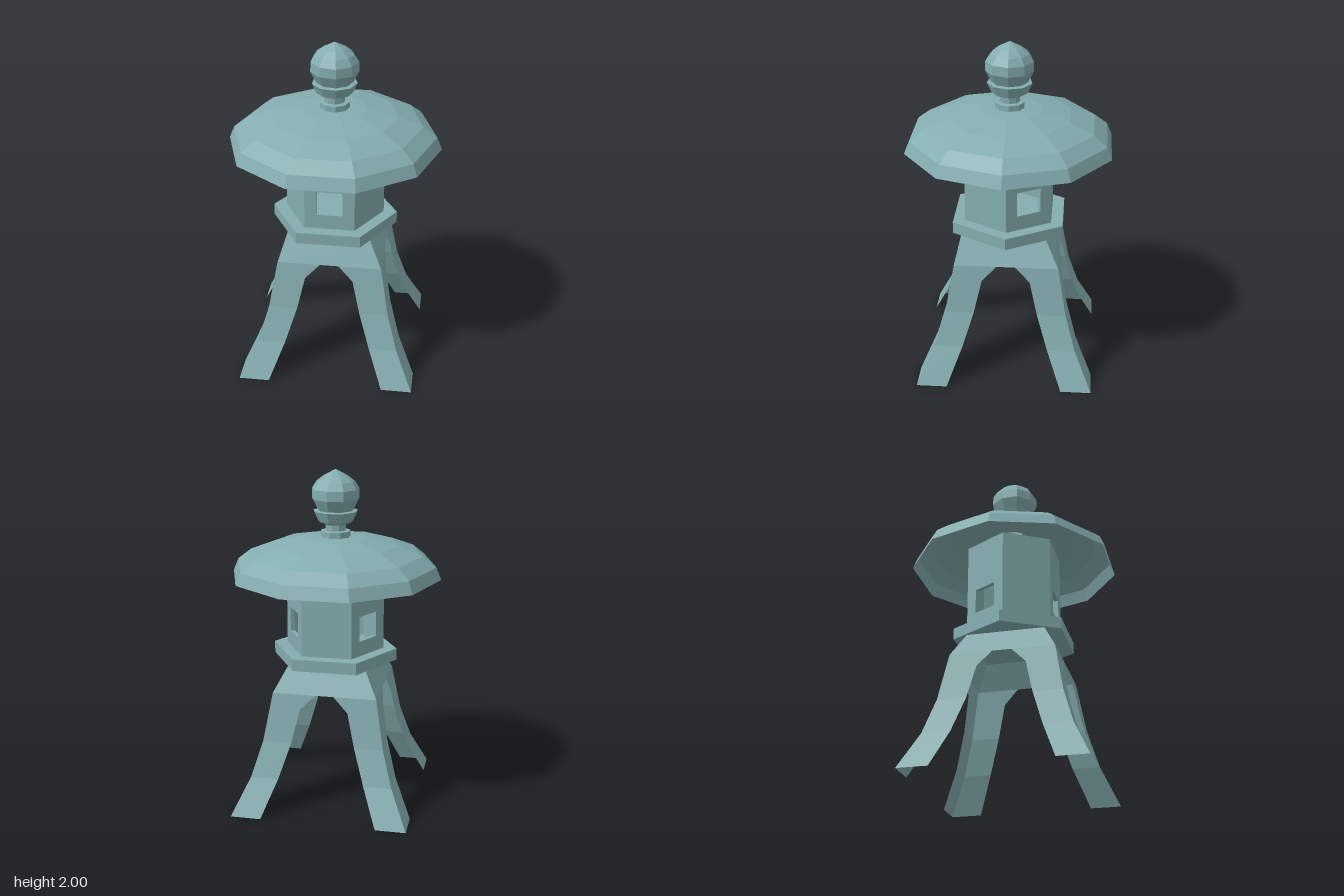
import * as THREE from 'three';

const stone = new THREE.MeshStandardMaterial({ color: 0x84adaf, flatShading: true, side: THREE.DoubleSide });
stone.name = 'greyGreenStone';

function add(parent, name, geometry) {
  const mesh = new THREE.Mesh(geometry, stone);
  mesh.name = name;
  parent.add(mesh);
  return mesh;
}

// Faceted turned shape with one corner on +x; profile is [radius, height] pairs
function turned(profile, sides) {
  return new THREE.LatheGeometry(profile.map(([r, y]) => new THREE.Vector2(r, y)), sides, Math.PI / 2);
}

// One side of the four-legged base: a sloping sheet with an arched opening
function legSide() {
  // [height, outer half width, inner half width]; the sheet also leans out by the outer half width
  const rows = [
    [0.72, 0.308, 0.055], [0.63, 0.324, 0.142], [0.43, 0.359, 0.188],
    [0.22, 0.421, 0.255], [0, 0.523, 0.342],
  ];
  const pos = [];
  const quad = (a, b, c, d) => pos.push(...a, ...b, ...c, ...a, ...c, ...d);
  quad([-0.308, 0.72, 0.308], [0.308, 0.72, 0.308], [0.23, 0.872, 0.23], [-0.23, 0.872, 0.23]);
  for (let i = 0; i < rows.length - 1; i++) {
    const [y0, o0, i0] = rows[i], [y1, o1, i1] = rows[i + 1];
    quad([i1, y1, o1], [o1, y1, o1], [o0, y0, o0], [i0, y0, o0]);
    quad([-o1, y1, o1], [-i1, y1, o1], [-i0, y0, o0], [-o0, y0, o0]);
  }
  const g = new THREE.BufferGeometry();
  g.setAttribute('position', new THREE.Float32BufferAttribute(pos, 3));
  g.computeVertexNormals();
  return g;
}

// One wall of the six-sided lamp house, optionally with a square window
function wallPanel(hasWindow) {
  const R = 0.294, h = R / 2, y0 = 0.935, y1 = 1.49, t = 0.025;
  const rect = (C, w, a, b) => new C([[-w, a], [w, a], [w, b], [-w, b]].map(p => new THREE.Vector2(...p)));
  const shape = rect(THREE.Shape, h, y0, y1);
  if (hasWindow) shape.holes.push(rect(THREE.Path, 0.076, 1.03, 1.18));
  const g = new THREE.ExtrudeGeometry(shape, { depth: t, bevelEnabled: false });
  g.translate(0, 0, R * Math.cos(Math.PI / 6) - t);
  return g;
}

export function createModel() {
  const model = new THREE.Group();
  model.name = 'stoneLantern';

  // Splayed legs
  const legs = new THREE.Group();
  legs.name = 'legs';
  legs.position.x = 0.007;
  const side = legSide();
  for (let k = 0; k < 4; k++) add(legs, 'legSide', side).rotation.y = k * Math.PI / 2;
  model.add(legs);

  // Platform
  const slab = new THREE.CylinderGeometry(0.374, 0.374, 0.07, 6, 1, false, Math.PI / 2);
  add(model, 'platform', slab).position.set(0.003, 0.905, 0);

  // Lamp house, with a window in every other wall
  const house = new THREE.Group();
  house.name = 'lampHouse';
  house.position.x = 0.003;
  for (let k = 0; k < 6; k++) {
    const open = k % 2 === 0;
    add(house, open ? 'windowWall' : 'plainWall', wallPanel(open)).rotation.y = k * Math.PI / 3;
  }
  model.add(house);

  // Umbrella roof, a thin shell
  add(model, 'roof', turned([
    [0.625, 1.375], [0.595, 1.447], [0.515, 1.51], [0.37, 1.565], [0.19, 1.6], [0.08, 1.608],
  ], 10));

  // Neck and cup under the finial
  add(model, 'neckAndCup', turned([
    [0.087, 1.605], [0.087, 1.642], [0.06, 1.645], [0.06, 1.68], [0.105, 1.70], [0.132, 1.76], [0.1, 1.765],
  ], 9));

  // Bud-shaped finial
  add(model, 'finial', turned([
    [0.105, 1.762], [0.141, 1.832], [0.139, 1.888], [0.112, 1.93], [0.07, 1.962], [0, 2.0],
  ], 9));

  return model;
}
